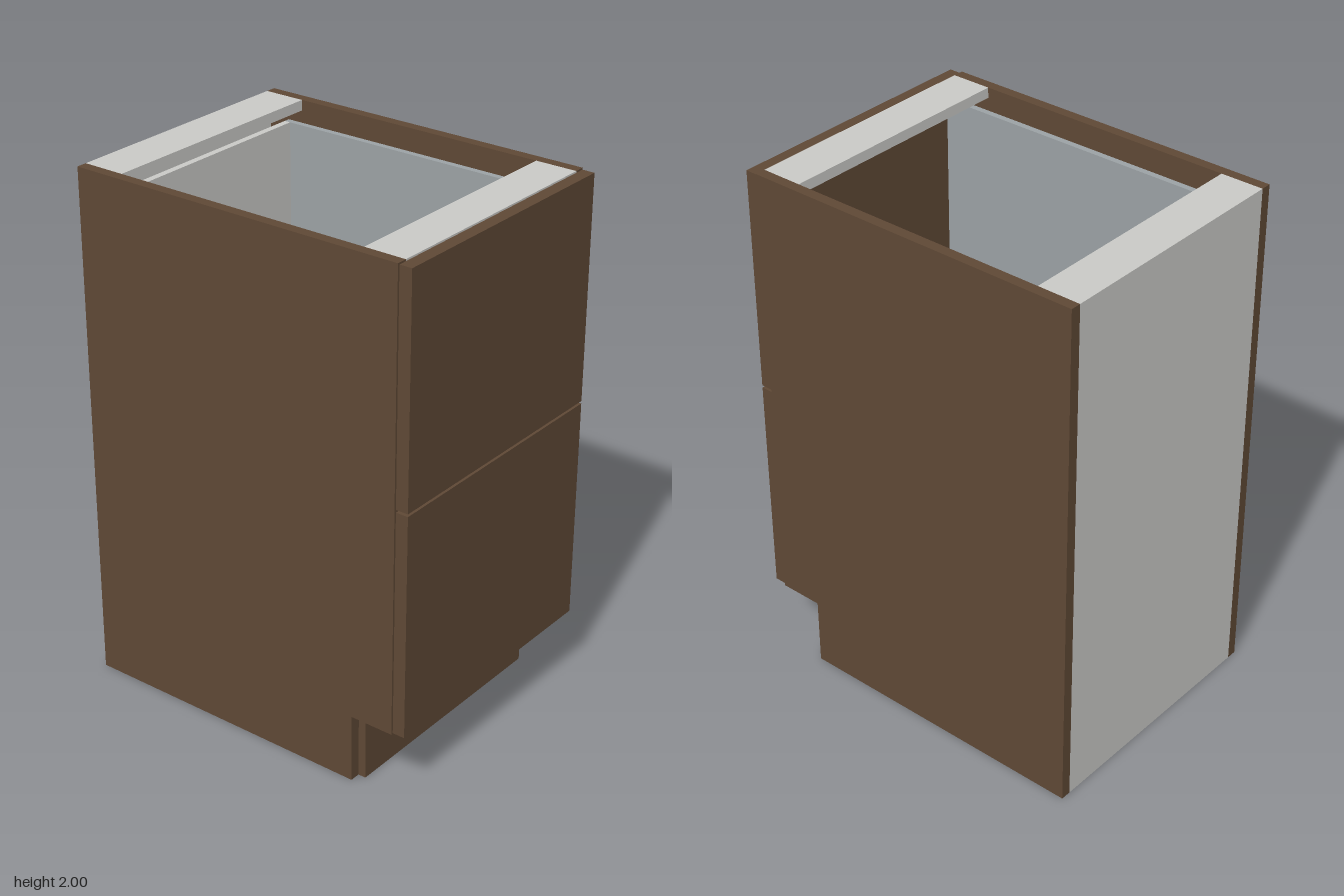
import * as THREE from 'three';

const mat = (name, color) => {
  const m = new THREE.MeshStandardMaterial({ color });
  m.name = name;
  return m;
};

export function createModel() {
  const wood = mat('brown wood', 0x5f4835);
  const board = mat('light grey board', 0xcacac7);
  const metal = mat('blue grey metal', 0x9ca2a5);

  const cabinet = new THREE.Group();
  cabinet.name = 'drawerCabinet';

  // Box given by its low and high limits on each axis
  const box = (parent, name, material, [x0, x1], [y0, y1], [z0, z1]) => {
    const mesh = new THREE.Mesh(new THREE.BoxGeometry(x1 - x0, y1 - y0, z1 - z0), material);
    mesh.position.set((x0 + x1) / 2, (y0 + y1) / 2, (z0 + z1) / 2);
    mesh.name = name;
    parent.add(mesh);
  };
  // Mirrored pair of boxes, at +x (left) and -x (right)
  const pair = (parent, name, material, [x0, x1], y, z) => {
    box(parent, name + 'Left', material, [x0, x1], y, z);
    box(parent, name + 'Right', material, [-x1, -x0], y, z);
  };

  const inner = [-0.48, 0.48];
  const kickTop = 0.265;

  // Carcass sides, floor, back and top rails
  pair(cabinet, 'sidePanel', wood, [0.48, 0.52], [kickTop, 2], [-0.695, 0.65]);
  box(cabinet, 'floor', board, inner, [kickTop, 0.305], [-0.68, 0.65]);
  box(cabinet, 'backPanel', board, inner, [0, 2], [-0.695, -0.68]);
  box(cabinet, 'rearTopRail', board, inner, [1.96, 2], [-0.68, -0.53]);
  box(cabinet, 'frontTopRail', board, inner, [1.96, 2], [0.49, 0.65]);

  // Recessed plinth
  pair(cabinet, 'plinthSide', wood, [0.48, 0.52], [0, kickTop], [-0.695, 0.48]);
  box(cabinet, 'toeKick', wood, inner, [0, 0.262], [0.48, 0.51]);

  // Two drawers: wooden front, metal sides, board back and bottom
  [['lowerDrawer', 0.27, 1.13], ['upperDrawer', 1.14, 1.995]].forEach(([name, y0, y1]) => {
    const drawer = new THREE.Group();
    drawer.name = name;
    const low = y0 + 0.06, high = y1 - 0.075;
    box(drawer, 'drawerFront', wood, [-0.515, 0.515], [y0, y1], [0.652, 0.7]);
    pair(drawer, 'drawerSide', metal, [0.44, 0.464], [low, high], [-0.58, 0.652]);
    box(drawer, 'drawerBottom', board, [-0.44, 0.44], [low, low + 0.03], [-0.58, 0.652]);
    box(drawer, 'drawerBack', board, [-0.44, 0.44], [low + 0.03, high], [-0.58, -0.555]);
    cabinet.add(drawer);
  });

  return cabinet;
}
